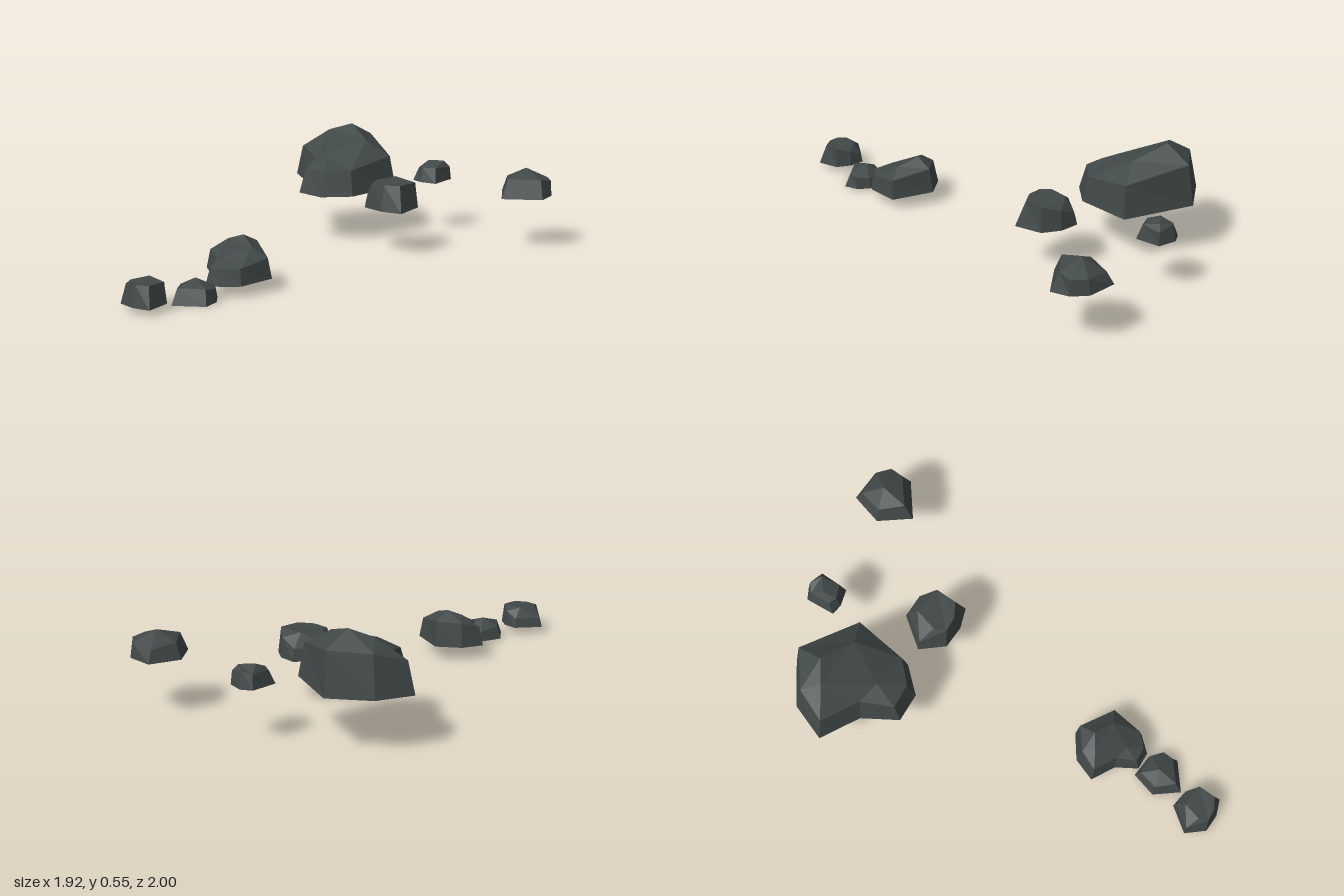
import * as THREE from 'three';

// Each rock: base outline [x, z] with its tilted height base(z),
// shoulder ring plus crown points [x, y, z], and crown faces by index.
const boulder = {
  base: [[-.39, -.9], [-.22, -1], [.005, -.985], [.155, -.66], [-.05, -.45], [-.21, -.425], [-.33, -.51], [-.305, -.7]],
  height: z => .24 - (z + .43) * .053,
  points: [[-.355, .42, -.88], [-.21, .47, -.96], [0, .48, -.955], [.125, .415, -.66], [-.06, .37, -.475],
    [-.2, .37, -.46], [-.3, .36, -.53], [-.27, .4, -.69],
    [-.21, .515, -.86], [-.09, .55, -.85], [0, .49, -.69], [-.2, .43, -.6]],
  crown: [[0, 1, 8], [1, 2, 9, 8], [2, 3, 10, 9], [3, 4, 10], [4, 5, 11, 10], [5, 6, 11], [6, 7, 11], [7, 8, 11], [7, 0, 8], [8, 9, 10, 11]],
};
const flatRock = {
  base: [[.025, -.395], [.205, -.44], [.27, -.37], [.295, -.275], [.22, -.145], [.12, -.18], [.03, -.255]],
  height: z => .225 - (z + .145) * .053,
  points: [[.04, .3, -.385], [.2, .3, -.425], [.263, .335, -.365], [.28, .358, -.277], [.21, .355, -.195], [.13, .355, -.205],
    [.065, .352, -.25], [.08, .36, -.31], [.175, .367, -.38]],
  crown: [[0, 1, 8, 7], [1, 2, 8], [2, 3, 8], [3, 4, 5, 6, 7, 8], [6, 0, 7]],
};
const peakedRock = {
  base: [[.71, -.545], [.845, -.64], [.95, -.54], [.96, -.45], [.915, -.36], [.71, -.365]],
  height: z => .262 - (z + .36) * .053,
  points: [[.735, .35, -.53], [.84, .335, -.605], [.94, .345, -.53], [.955, .345, -.45], [.905, .355, -.4], [.74, .358, -.4], [.83, .4, -.495]],
  crown: [[0, 1, 6], [1, 2, 6], [2, 3, 6], [3, 4, 6], [4, 5, 6], [5, 0, 6]],
};
const pebble = {
  base: [[.24, -.795], [.325, -.915], [.385, -.905], [.437, -.83], [.36, -.722], [.28, -.755]],
  height: z => .258 - (z + .72) * .053,
  points: [[.27, .33, -.805], [.33, .335, -.89], [.38, .35, -.89], [.43, .33, -.83], [.36, .335, -.75], [.29, .335, -.77],
    [.32, .365, -.83], [.4, .362, -.83]],
  crown: [[0, 1, 6], [1, 2, 7, 6], [2, 3, 7], [3, 4, 7], [4, 5, 6, 7], [5, 0, 6]],
};

// Open-bottomed rock shell: side walls, then the faceted crown
function rockGeometry({ base, height, points, crown }) {
  const n = base.length;
  const vertices = [...base.map(([x, z]) => [x, height(z), z]), ...points];
  const index = [];
  for (let i = 0; i < n; i++) {
    const j = (i + 1) % n;
    index.push(i, n + i, n + j, i, n + j, j);
  }
  for (const f of crown) {
    for (let k = 1; k < f.length - 1; k++) index.push(n + f[0], n + f[k + 1], n + f[k]);
  }
  const g = new THREE.BufferGeometry();
  g.setAttribute('position', new THREE.Float32BufferAttribute(vertices.flat(), 3));
  g.setIndex(index);
  const flat = g.toNonIndexed();
  flat.computeVertexNormals();
  return flat;
}

export function createModel() {
  const group = new THREE.Group();
  group.name = 'rockScatter';
  const stone = new THREE.MeshStandardMaterial({ color: 0x414848, flatShading: true, side: THREE.DoubleSide });
  stone.name = 'darkStone';

  // Scaled copies move the point "from" to the point "to"
  function addRock(name, shape, scale = 1, from = [0, 0, 0], to = [0, 0, 0]) {
    const g = rockGeometry(shape);
    g.translate(-from[0], -from[1], -from[2]).scale(scale, scale, scale).translate(...to);
    const mesh = new THREE.Mesh(g, stone);
    mesh.name = name;
    group.add(mesh);
  }

  // Back cluster
  addRock('largeBoulder', boulder);
  addRock('flatRock', flatRock);
  addRock('peakedRock', peakedRock);
  addRock('pebble', pebble);

  // Front cluster of smaller repeats
  addRock('smallBoulder', boulder, .605, [-.117, .24, -.715], [-.497, .055, .497]);
  addRock('smallFlatRock', flatRock, .78, [.16, .225, -.292], [-.858, .03, .883]);
  addRock('smallPeakedRock', peakedRock, .78, [.835, .262, -.5], [-.652, .003, .713]);

  return group;
}
